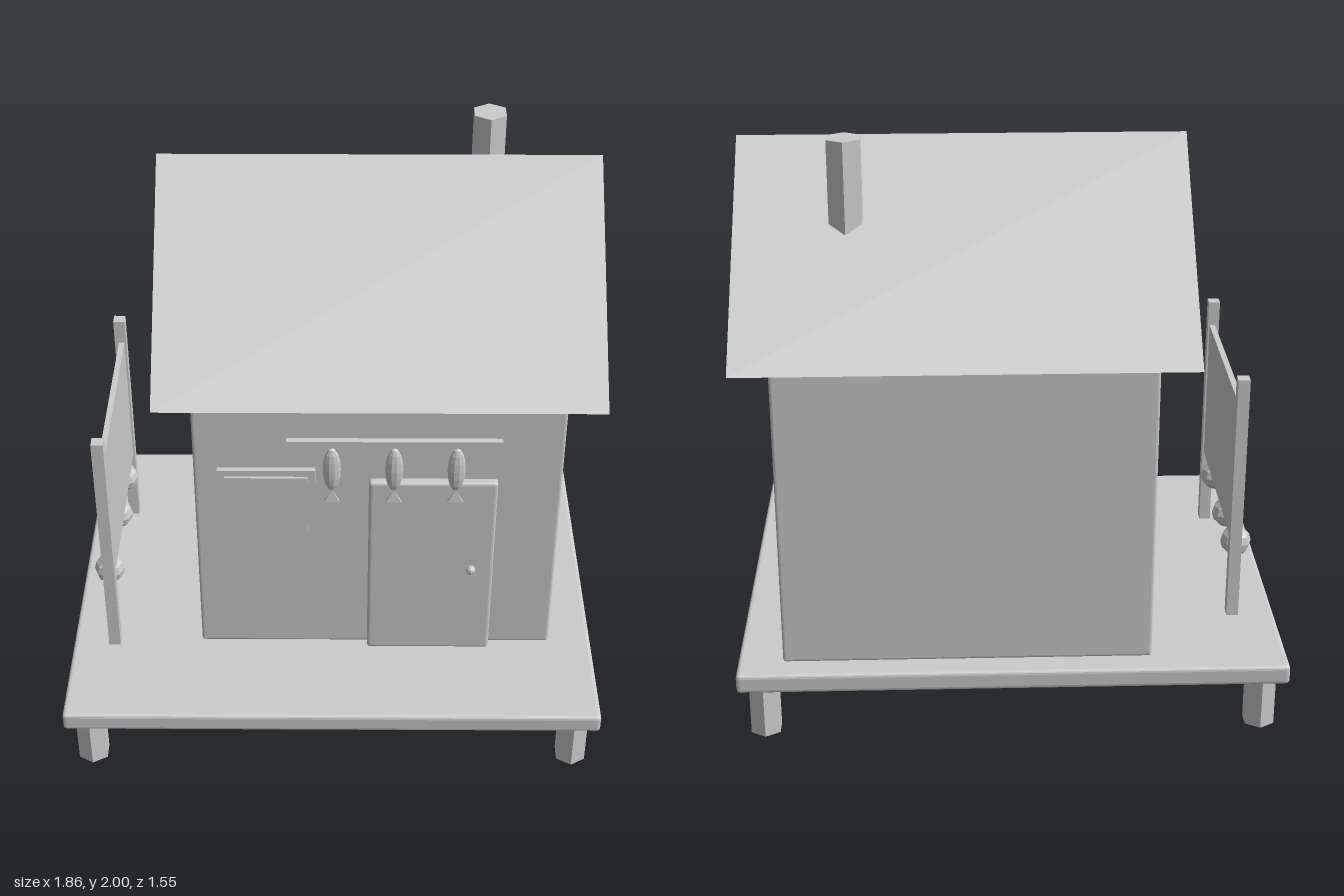
import * as THREE from 'three';
import { RoundedBoxGeometry } from 'three/addons/geometries/RoundedBoxGeometry.js';

export function createModel() {
  const group = new THREE.Group();
  const grey = new THREE.MeshStandardMaterial({ color: 0xcccccc });
  grey.name = 'plain grey';

  // faceted normals for the low-poly look
  const facet = (geometry) => {
    const flat = geometry.index ? geometry.toNonIndexed() : geometry;
    flat.computeVertexNormals();
    return flat;
  };
  const add = (name, geometry, x = 0, y = 0, z = 0, parent = group) => {
    const mesh = new THREE.Mesh(facet(geometry), grey);
    mesh.name = name;
    mesh.position.set(x, y, z);
    parent.add(mesh);
    return mesh;
  };
  // boxes given by their min and max corners
  const box = (name, [x0, y0, z0], [x1, y1, z1], bevel = 0, parent = group) => {
    const size = [x1 - x0, y1 - y0, z1 - z0];
    const geometry = bevel ? new RoundedBoxGeometry(...size, 2, bevel) : new THREE.BoxGeometry(...size);
    return add(name, geometry, (x0 + x1) / 2, (y0 + y1) / 2, (z0 + z1) / 2, parent);
  };

  // deck on four hexagonal stilts
  box('deck', [-0.93, 0.192, -0.722], [0.93, 0.262, 0.772], 0.014);
  for (const x of [-0.845, 0.845])
    for (const z of [-0.63, 0.685])
      add('stilt', new THREE.CylinderGeometry(0.057, 0.057, 0.2, 6), x, 0.1, z);

  // cabin walls
  box('walls', [-0.467, 0.272, -0.655], [0.775, 1.362, 0.4], 0.01);

  // gabled roof, a solid prism along x
  const gable = new THREE.Shape();
  gable.moveTo(-0.64, 0);
  gable.lineTo(0.64, 0);
  gable.lineTo(0, 0.592);
  gable.closePath();
  const roof = new THREE.ExtrudeGeometry(gable, { depth: 1.475, bevelEnabled: false });
  roof.rotateY(Math.PI / 2);
  add('roof', roof, -0.585, 1.36, -0.135);

  // chimney
  add('chimney', new THREE.CylinderGeometry(0.062, 0.062, 0.45, 6), 0.53, 1.775, -0.35);

  // door and knob
  box('door', [0.124, 0.265, 0.38], [0.558, 1.013, 0.427], 0.011);
  add('doorKnob', new THREE.SphereGeometry(0.017, 8, 6), 0.48, 0.64, 0.436);

  // window frame with a raised pane
  box('windowFrame', [-0.387, 0.76, 0.39], [-0.057, 1.058, 0.419]);
  box('windowPane', [-0.362, 0.785, 0.4], [-0.082, 1.034, 0.428]);

  // hanging rail with drying fish
  box('dryingRail', [-0.145, 1.315, 0.607], [0.543, 1.337, 0.628]);
  for (const x of [0, 0.2, 0.4]) {
    const fish = new THREE.Group();
    fish.name = 'fish';
    fish.position.set(x, 1.22, 0.618);
    const body = new THREE.SphereGeometry(1, 10, 8);
    body.scale(0.029, 0.085, 0.018);
    add('fishBody', body, 0, 0, 0, fish);
    const tail = new THREE.ConeGeometry(0.036, 0.046, 4);
    tail.rotateY(Math.PI / 4);
    tail.scale(1, 1, 0.22);
    add('fishTail', tail, 0, -0.107, 0, fish);
    group.add(fish);
  }

  // net rack: two posts, a panel with cross slats, and floats below
  const rack = new THREE.Group();
  rack.name = 'netRack';
  group.add(rack);
  for (const z of [-0.35, 0.395])
    box('rackPost', [-0.802, 0.262, z - 0.021], [-0.761, 1.16, z + 0.021], 0, rack);
  box('netPanel', [-0.787, 0.55, -0.35], [-0.767, 1.07, 0.395], 0, rack);
  for (const y of [0.66, 0.8, 0.94])
    box('netSlat', [-0.797, y - 0.012, -0.35], [-0.78, y + 0.012, 0.395], 0, rack);
  for (const z of [-0.26, -0.04, 0.27])
    add('netFloat', new THREE.SphereGeometry(0.054, 8, 6), -0.798, 0.501, z, rack);

  return group;
}
